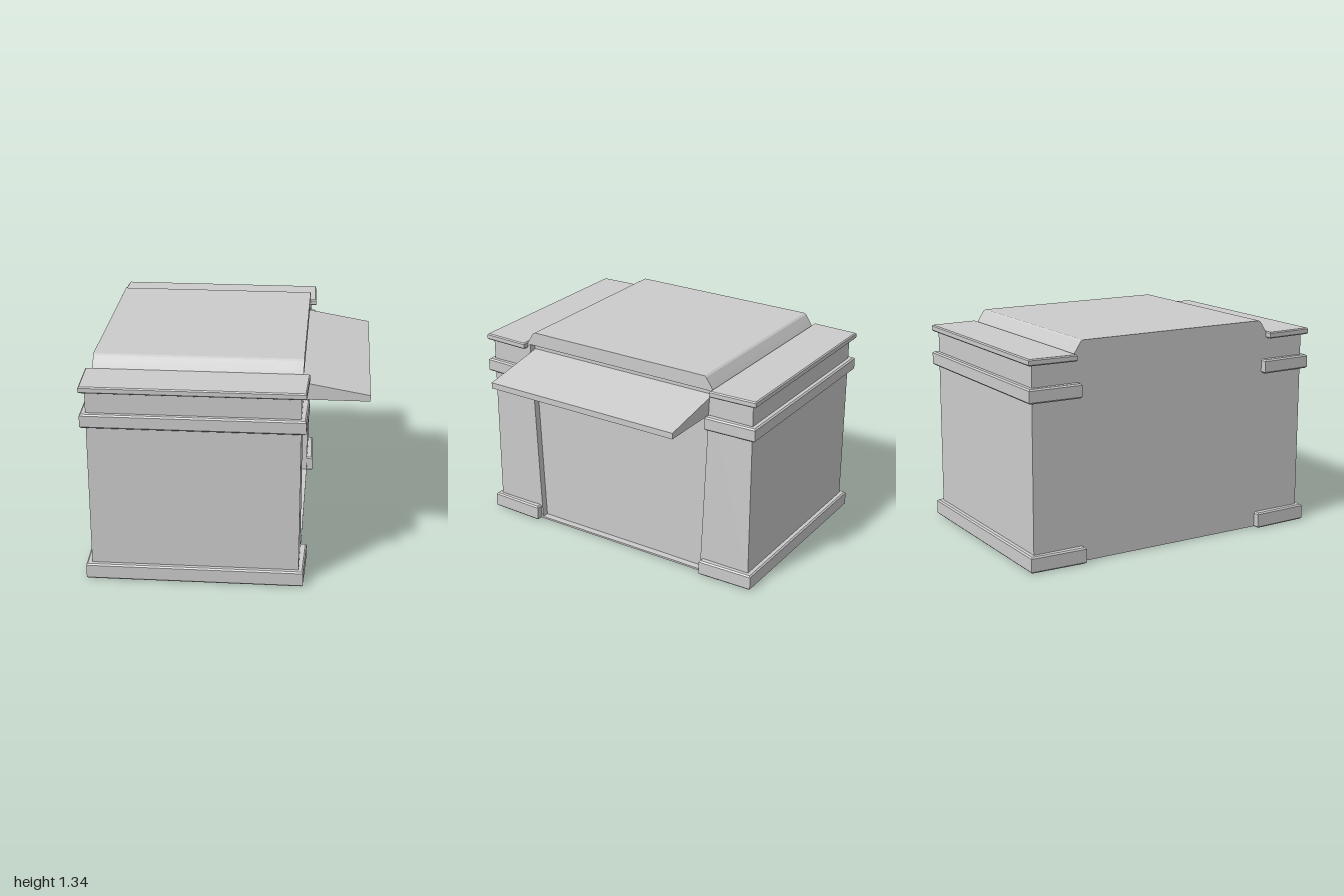
import * as THREE from 'three';

const material = new THREE.MeshStandardMaterial({ color: 0xcccccc, flatShading: true });

function polygon(points) {
  return new THREE.Shape(points.map(([x, y]) => new THREE.Vector2(x, y)));
}

function addMesh(group, name, geometry) {
  const mesh = new THREE.Mesh(geometry, material);
  mesh.name = name;
  group.add(mesh);
}

// Extrude a symmetric z-y outline along x, from x0 to x1
function extrudeAlongX(shape, x0, x1) {
  return new THREE.ExtrudeGeometry(shape, { depth: x1 - x0, bevelEnabled: false })
    .rotateY(Math.PI / 2)
    .translate(x0, 0, 0);
}

// Tapered, bevelled trim wrapping one end of the body; side is +1 front, -1 back
function trimGeometry(inner, y0, y1, bevel, side) {
  const half = 0.675, tip = 0.664;
  // shape y becomes world -z once laid flat
  const shape = polygon([
    [-half, -side * inner], [half, -side * inner],
    [tip, -side], [-tip, -side],
  ]);
  return new THREE.ExtrudeGeometry(shape, {
    depth: y1 - y0 - 2 * bevel,
    bevelThickness: bevel, bevelSize: bevel, bevelOffset: -bevel, bevelSegments: 1,
  }).rotateX(-Math.PI / 2).translate(-0.18, y0 + bevel, 0);
}

export function createModel() {
  const model = new THREE.Group();
  model.name = 'kiosk';

  // Body outline with raised, sloped roof
  const outline = [
    [-0.967, 0.003], [0.967, 0.003], [0.967, 1.25], [0.7, 1.25], [0.675, 1.29],
    [0.645, 1.335], [0.632, 1.343], [-0.632, 1.343], [-0.645, 1.335], [-0.675, 1.29],
    [-0.7, 1.25], [-0.967, 1.25],
  ];
  addMesh(model, 'body', extrudeAlongX(polygon(outline), -0.812, 0.41));

  // Side wall with the tapered opening
  const wall = polygon(outline);
  wall.holes.push(polygon([[-0.622, 0.015], [-0.672, 1.255], [0.672, 1.255], [0.622, 0.015]]));
  addMesh(model, 'recessedWall', extrudeAlongX(wall, 0.41, 0.455));

  // Trim bands and roof slabs on both ends
  for (const [side, end] of [[1, 'front'], [-1, 'back']]) {
    addMesh(model, end + 'BaseTrim', trimGeometry(0.635, 0, 0.1, 0.009, side));
    addMesh(model, end + 'UpperTrim', trimGeometry(0.66, 1.01, 1.097, 0.009, side));
    addMesh(model, end + 'RoofSlab', trimGeometry(0.69, 1.23, 1.27, 0.007, side));
  }

  // Wedge-shaped awning over the opening
  const awning = polygon([[0.4, 1.097], [0.855, 1.097], [0.855, 1.135], [0.4, 1.215]]);
  addMesh(model, 'awning', new THREE.ExtrudeGeometry(awning, { depth: 1.332, bevelEnabled: false })
    .translate(0, 0, -0.666));

  return model;
}
